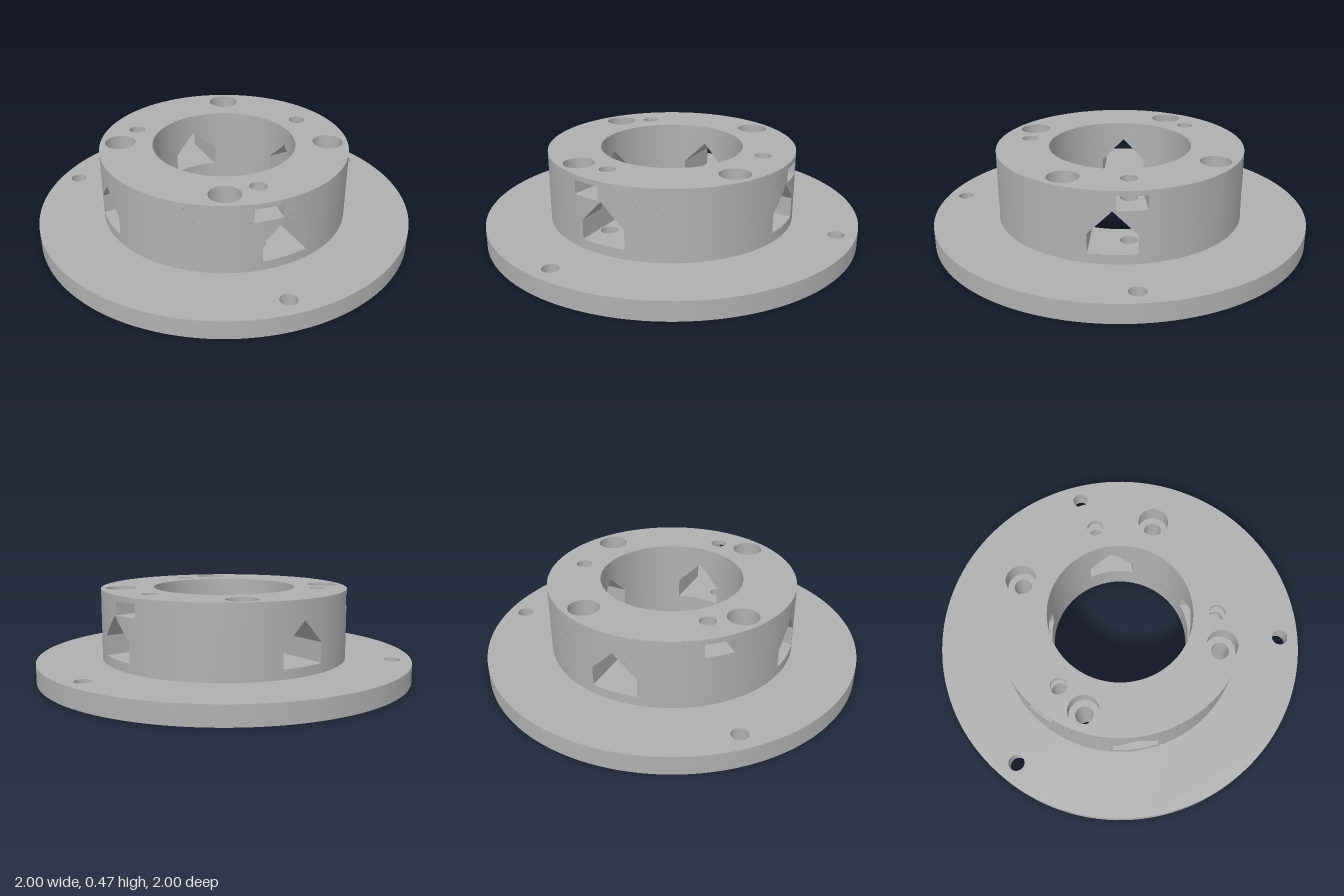
import * as THREE from 'three';
import { toCreasedNormals } from 'three/addons/utils/BufferGeometryUtils.js';
import { ParametricGeometry } from 'three/addons/geometries/ParametricGeometry.js';

const R = 1, HUB = 0.655, BORE = 0.377;
const FLANGE = 0.1, TOP = 0.472;
const FLOOR = 0.15, SHOULDER = 0.252, APEX = 0.372, HALF = 0.12; // gabled windows
const SLOT0 = 0.374, SLOT1 = 0.445, SLOT_HALF = 0.075; // nut slots
const PIN = 0.043, BOLT = 0.046, HEAD = 0.08;
const rad = THREE.MathUtils.degToRad;
const polar = (r, deg) => [r * Math.sin(rad(deg)), r * Math.cos(rad(deg))];

const pinAngles = [-8, 98, 225];
const boltAngles = [63.5, 153.5, 243.5, 333.5];
const pins = pinAngles.map(a => polar(0.5, a));
const flangeHoles = pinAngles.map(a => polar(0.9, a));
const bolts = boltAngles.map(a => polar(0.549, a));

// Outlines as [x, z] points
const circle = ([x, z], r, n = 32) => Array.from({ length: n }, (_, i) => {
  const a = (i / n) * Math.PI * 2;
  return [x + r * Math.sin(a), z + r * Math.cos(a)];
});
const arc = (r, x0, x1, n = 8) => Array.from({ length: n + 1 }, (_, i) => {
  const x = x0 + ((x1 - x0) * i) / n;
  return [x, Math.sqrt(r * r - x * x)];
});
const strip = (x0, x1) => [...arc(HUB, x0, x1), ...arc(BORE, x1, x0)];

// Flat face with holes; y may be a number or a rule of x
function plate(outline, holes, y, up) {
  const s = up ? -1 : 1;
  const toVec = ([x, z]) => new THREE.Vector2(x, s * z);
  const shape = new THREE.Shape(outline.map(toVec));
  shape.holes = holes.map(h => new THREE.Path(h.map(toVec)));
  const g = new THREE.ShapeGeometry(shape).rotateX((s * Math.PI) / 2);
  const p = g.attributes.position;
  for (let i = 0; i < p.count; i++) p.setY(i, typeof y === 'function' ? y(p.getX(i)) : y);
  g.computeVertexNormals();
  return g;
}

// Round wall: rising y faces outward, falling y faces inward
const tube = (r, y0, y1, n = 32) =>
  new THREE.LatheGeometry([new THREE.Vector2(r, y0), new THREE.Vector2(r, y1)], n);

// Upright flat wall from p to q
const wall = (p, q, y0, y1) => new ParametricGeometry((u, v, t) =>
  t.set(p[0] + (q[0] - p[0]) * u, y0 + (y1 - y0) * v, p[1] + (q[1] - p[1]) * u), 1, 1);

// Curved wall between two angles that may vary with height
function curved(r, y0, y1, from, to, inward, rows = 1) {
  return new ParametricGeometry((u, v, t) => {
    const y = y0 + (y1 - y0) * v;
    const k = inward ? 1 - u : u;
    const a = from(y) + (to(y) - from(y)) * k;
    t.set(r * Math.sin(a), y, r * Math.cos(a));
  }, 40, rows);
}

export function createModel() {
  const steel = new THREE.MeshStandardMaterial({ color: 0xb0b0b0 });
  steel.name = 'grey metal';
  const model = new THREE.Group();
  model.name = 'flangedHub';
  const group = (name, angle = 0) => {
    const g = new THREE.Group();
    g.name = name;
    g.rotation.y = angle;
    model.add(g);
    return g;
  };
  const add = (parent, name, geo, x = 0, z = 0) => {
    const m = new THREE.Mesh(geo, steel);
    m.name = name;
    m.position.set(x, 0, z);
    parent.add(m);
  };
  const o = [0, 0];
  const bore = circle(o, BORE, 128);

  // Flange disc
  const flange = group('flange');
  const through = [...flangeHoles, ...pins].map(c => circle(c, PIN));
  add(flange, 'rim', tube(R, 0, FLANGE, 128));
  add(flange, 'underside', plate(circle(o, R, 128),
    [bore, ...through, ...bolts.map(c => circle(c, BOLT))], 0, false));
  add(flange, 'upperFace', plate(circle(o, R, 128),
    [circle(o, HUB, 128), ...flangeHoles.map(c => circle(c, PIN))], FLANGE, true));
  flangeHoles.forEach(([x, z]) => add(flange, 'mountingHole', tube(PIN, FLANGE, 0), x, z));

  // Hub top and the unbroken bands of its walls
  const hub = group('hub');
  add(hub, 'topFace', plate(circle(o, HUB, 128),
    [bore, ...bolts.map(c => circle(c, HEAD)), ...pins.map(c => circle(c, PIN))], TOP, true));
  add(hub, 'lowerOuterWall', tube(HUB, FLANGE, FLOOR, 128));
  add(hub, 'upperOuterWall', tube(HUB, SLOT1, TOP, 128));
  add(hub, 'lowerBoreWall', tube(BORE, FLOOR, 0, 128));
  add(hub, 'upperBoreWall', tube(BORE, TOP, APEX, 128));
  add(hub, 'outerWallSeam', tube(HUB, APEX, SLOT0, 128));

  // Counterbored bolt holes
  const profile = [[HEAD, TOP], [HEAD, TOP - 0.1], [BOLT, TOP - 0.1], [BOLT, 0]]
    .map(p => new THREE.Vector2(...p));
  bolts.forEach(([x, z]) =>
    add(hub, 'boltHole', toCreasedNormals(new THREE.LatheGeometry(profile, 32), 0.6), x, z));

  // Four gabled windows and the wall quarters between them
  const roof = x => APEX - Math.abs(x);
  const pinX = 0.5 * Math.sin(rad(8)), pinZ = 0.5 * Math.cos(rad(8));
  for (let q = 0; q < 4; q++) {
    const win = group('window', (q * Math.PI) / 2);
    const side = [-1, 1, 0, 0][q]; // side of the pin hole crossing this window
    const hole = side ? [circle([side * pinX, pinZ], PIN)] : [];
    add(win, 'windowFloor', plate(strip(-HALF, HALF), hole, FLOOR, true));
    for (const s of [-1, 1]) {
      add(win, 'windowRoof', plate(strip(Math.min(0, s * HALF), Math.max(0, s * HALF)),
        s === side ? hole : [], roof, false));
      const outer = arc(HUB, s * HALF, 0)[0], inner = arc(BORE, s * HALF, 0)[0];
      add(win, 'windowSide', s < 0 ? wall(outer, inner, FLOOR, SHOULDER)
        : wall(inner, outer, FLOOR, SHOULDER));
    }
    for (const [r, inward] of [[HUB, false], [BORE, true]]) {
      const from = y => Math.asin(Math.min(HALF, Math.max(0, APEX - y)) / r);
      const to = y => Math.PI / 2 - from(y);
      const name = inward ? 'boreQuarter' : 'outerQuarter';
      add(win, name, curved(r, FLOOR, SHOULDER, from, to, inward));
      add(win, name, curved(r, SHOULDER, APEX, from, to, inward, 8));
    }
    // Pin hole section above the sloping roof
    if (side) {
      const g = tube(PIN, SLOT0, 0);
      const p = g.attributes.position;
      for (let i = 0; i < p.count; i++)
        if (p.getY(i) < 0.01) p.setY(i, roof(p.getX(i) + side * pinX));
      add(win, 'pinHoleMiddle', g, side * pinX, pinZ);
    }
  }

  // Nut slots with pointed inner ends, and the outer wall between them
  const edge = Math.asin(SLOT_HALF / HUB);
  const mouth = arc(HUB, SLOT_HALF, -SLOT_HALF);
  const back = [[-SLOT_HALF, 0.457], [0, 0.413], [SLOT_HALF, 0.457]];
  const path = [mouth[8], ...back, mouth[0]];
  pinAngles.forEach((a, i) => {
    const slot = group('nutSlot', rad(a));
    const hole = [circle([0, 0.5], PIN)];
    add(slot, 'slotFloor', plate([...back, ...mouth], hole, SLOT0, true));
    add(slot, 'slotCeiling', plate([...back, ...mouth], hole, SLOT1, false));
    for (let k = 0; k < 4; k++) add(slot, 'slotWall', wall(path[k], path[k + 1], SLOT0, SLOT1));
    add(slot, 'pinHoleTop', tube(PIN, TOP, SLOT1), 0, 0.5);
    add(slot, 'pinHoleBottom', tube(PIN, i === 2 ? SLOT0 : FLOOR, 0), 0, 0.5);
    const span = rad((pinAngles[(i + 1) % 3] - a + 360) % 360);
    add(slot, 'outerWallBand', curved(HUB, SLOT0, SLOT1, () => edge, () => span - edge, false));
  });
  return model;
}
